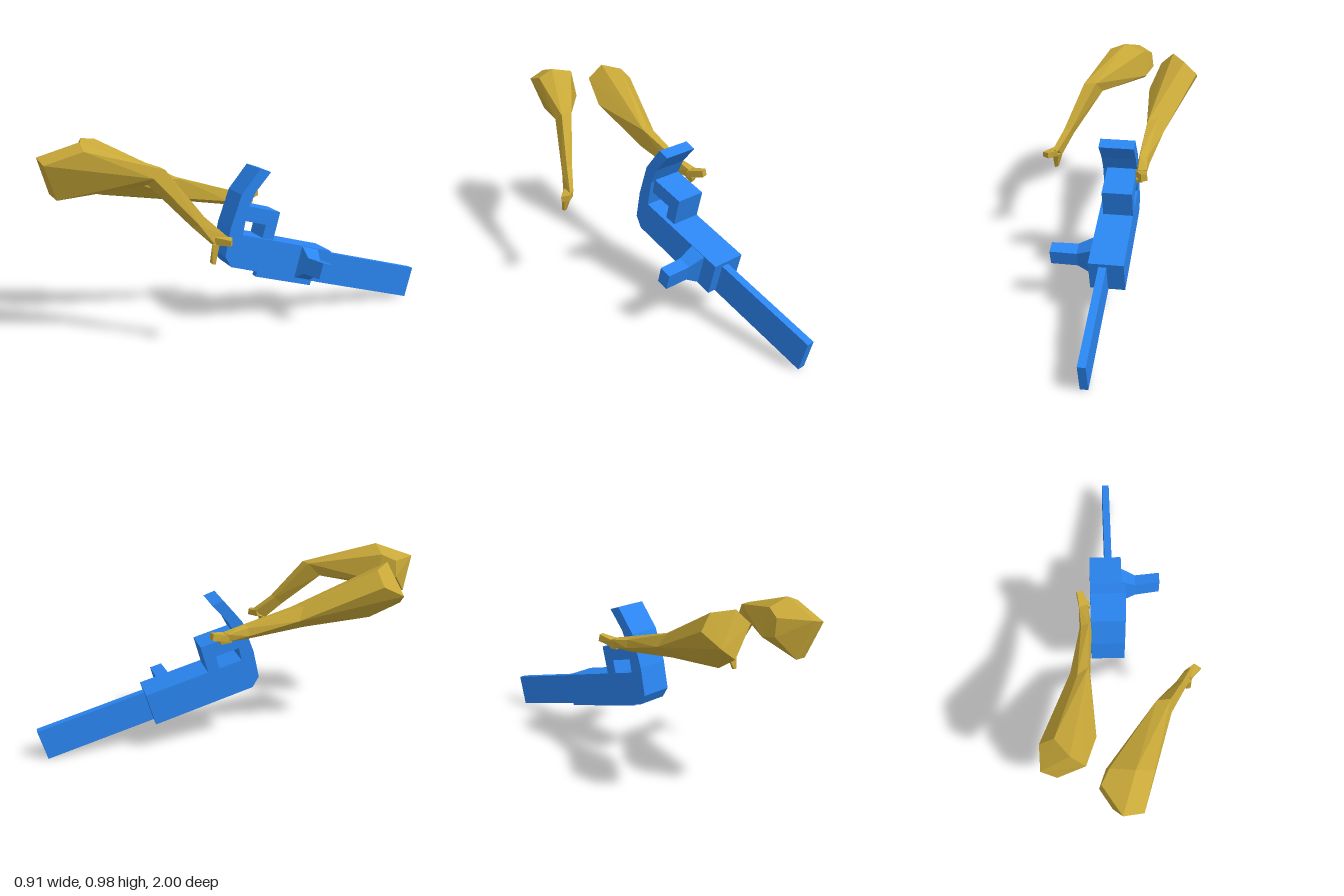
import * as THREE from 'three';
import { ConvexGeometry } from 'three/addons/geometries/ConvexGeometry.js';

const V = (p) => new THREE.Vector3(...p);
const blue = new THREE.MeshStandardMaterial({ color: 0x2a85f0, flatShading: true });
const gold = new THREE.MeshStandardMaterial({ color: 0xc8a838, flatShading: true });

function add(parent, name, geometry, material) {
  const mesh = new THREE.Mesh(geometry, material);
  mesh.name = name;
  parent.add(mesh);
  return mesh;
}

// Faceted solid spanning two or more rings of points
const hull = (...rings) => new ConvexGeometry(rings.flat().map(V));

// Side profile in (z, y), extruded from x0 to x1
function slab(points, x0, x1) {
  const shape = new THREE.Shape(points.map(([z, y]) => new THREE.Vector2(z, y)));
  const g = new THREE.ExtrudeGeometry(shape, { depth: x1 - x0, bevelEnabled: false });
  return g.rotateY(-Math.PI / 2).translate(x1, 0, 0);
}

// Rectangular ring in the y-z plane
const rect = (x, y0, y1, z0, z1) => [[x, y0, z0], [x, y0, z1], [x, y1, z1], [x, y1, z0]];

function createSaw() {
  const saw = new THREE.Group();
  saw.name = 'saw';
  saw.rotation.set(-Math.PI / 12, -Math.PI / 12, 0, 'YXZ');

  // Motor housing with the hand guard rising from its near end
  add(saw, 'housingAndGuard', slab([
    [0.14, 0.292], [0.187, 0.338], [0.196, 0.486], [0.182, 0.662], [0.117, 0.807],
    [0.055, 0.803], [0.11, 0.69], [0.13, 0.6], [0.123, 0.463], [-0.4, 0.463], [-0.4, 0.288],
  ], -0.024, 0.15), blue);

  // Rear grip forming a window with the guard
  add(saw, 'grip', slab([
    [-0.062, 0.45], [0, 0.45], [0, 0.533], [0.14, 0.533], [0.14, 0.61], [-0.062, 0.61],
  ], -0.024, 0.128), blue);

  add(saw, 'blade', hull(rect(0.061, 0.277, 0.443, -0.974, -0.39),
    rect(0.1, 0.277, 0.443, -0.974, -0.39)), blue);
  add(saw, 'underRail', hull(rect(0.08, 0.258, 0.3, -0.345, -0.02),
    rect(0.122, 0.258, 0.3, -0.345, -0.02)), blue);

  // Side handle: flared root and square peg
  const neck = rect(0.225, 0.334, 0.418, -0.305, -0.235);
  add(saw, 'sideHandleRoot', hull(rect(0.145, 0.29, 0.463, -0.32, -0.225), neck), blue);
  add(saw, 'sideHandle', hull(neck, rect(0.358, 0.344, 0.428, -0.312, -0.248)), blue);
  return saw;
}

function createArm(name, { shoulder, elbow, mid, wrist, finger, thumb }) {
  const arm = new THREE.Group();
  arm.name = name;
  add(arm, 'upperArm', hull(shoulder, elbow), gold);
  add(arm, 'forearm', hull(elbow, mid), gold);
  add(arm, 'wrist', hull(mid, wrist), gold);
  add(arm, 'fingers', hull(...finger), gold);
  add(arm, 'thumb', hull(...thumb), gold);
  return arm;
}

// Bent arm reaching toward the side handle
const leftArm = {
  shoulder: [[-0.215, 0.93, 0.83], [-0.163, 0.925, 0.985], [-0.067, 0.9, 0.995], [0.025, 0.96, 0.84],
    [-0.057, 0.992, 0.82], [-0.163, 0.96, 0.775], [-0.225, 0.845, 0.83], [-0.185, 0.745, 0.92],
    [-0.09, 0.73, 0.927], [-0.17, 0.82, 0.75], [0, 0.79, 0.77]],
  elbow: [[0.205, 0.872, 0.53], [0.14, 0.875, 0.52], [0.195, 0.835, 0.585], [0.15, 0.8, 0.59],
    [0.1, 0.81, 0.57]],
  mid: [[0.33, 0.66, 0.405], [0.275, 0.62, 0.44], [0.3, 0.615, 0.455], [0.335, 0.625, 0.435],
    [0.29, 0.66, 0.405]],
  wrist: [[0.402, 0.572, 0.33], [0.345, 0.53, 0.375], [0.39, 0.535, 0.385], [0.37, 0.57, 0.335]],
  finger: [[[0.37, 0.57, 0.335], [0.37, 0.535, 0.34], [0.385, 0.57, 0.385], [0.385, 0.535, 0.385]],
    [[0.425, 0.568, 0.315], [0.425, 0.535, 0.315], [0.452, 0.562, 0.345], [0.452, 0.535, 0.345]]],
  thumb: [[[0.345, 0.532, 0.37], [0.4, 0.535, 0.37], [0.385, 0.54, 0.4], [0.37, 0.54, 0.345]],
    [[0.372, 0.448, 0.385], [0.39, 0.445, 0.385], [0.39, 0.448, 0.402], [0.365, 0.452, 0.4]]],
};

// Straighter arm holding the grip
const rightArm = {
  shoulder: [[-0.255, 0.9, 0.727], [-0.39, 0.77, 0.717], [-0.457, 0.828, 0.68], [-0.43, 0.885, 0.57],
    [-0.36, 0.955, 0.58], [-0.315, 0.972, 0.68], [-0.295, 0.685, 0.6], [-0.167, 0.8, 0.59],
    [-0.22, 0.87, 0.53], [-0.33, 0.8, 0.51]],
  elbow: [[-0.17, 0.765, 0.27], [-0.195, 0.7, 0.23], [-0.15, 0.645, 0.29], [-0.1, 0.655, 0.25],
    [-0.105, 0.75, 0.24]],
  mid: [[-0.075, 0.67, 0], [-0.085, 0.63, 0], [-0.045, 0.6, 0], [-0.02, 0.62, 0], [-0.035, 0.68, 0]],
  wrist: [[-0.055, 0.65, -0.11], [-0.05, 0.61, -0.1], [-0.008, 0.61, -0.1], [-0.01, 0.65, -0.11]],
  finger: [[[-0.055, 0.645, -0.1], [-0.055, 0.61, -0.1], [0, 0.61, -0.1], [0, 0.645, -0.1]],
    [[-0.045, 0.665, -0.185], [-0.048, 0.63, -0.19], [-0.015, 0.63, -0.19], [-0.015, 0.665, -0.185]]],
  thumb: [[[-0.05, 0.63, -0.08], [-0.05, 0.6, -0.08], [-0.02, 0.63, -0.08], [-0.02, 0.6, -0.08]],
    [[-0.03, 0.615, -0.14], [-0.03, 0.592, -0.13], [0.005, 0.615, -0.14], [0.005, 0.592, -0.13]]],
};

export function createModel() {
  const model = new THREE.Group();
  model.name = 'armsWithSaw';
  model.add(createSaw(), createArm('leftArm', leftArm), createArm('rightArm', rightArm));
  return model;
}
